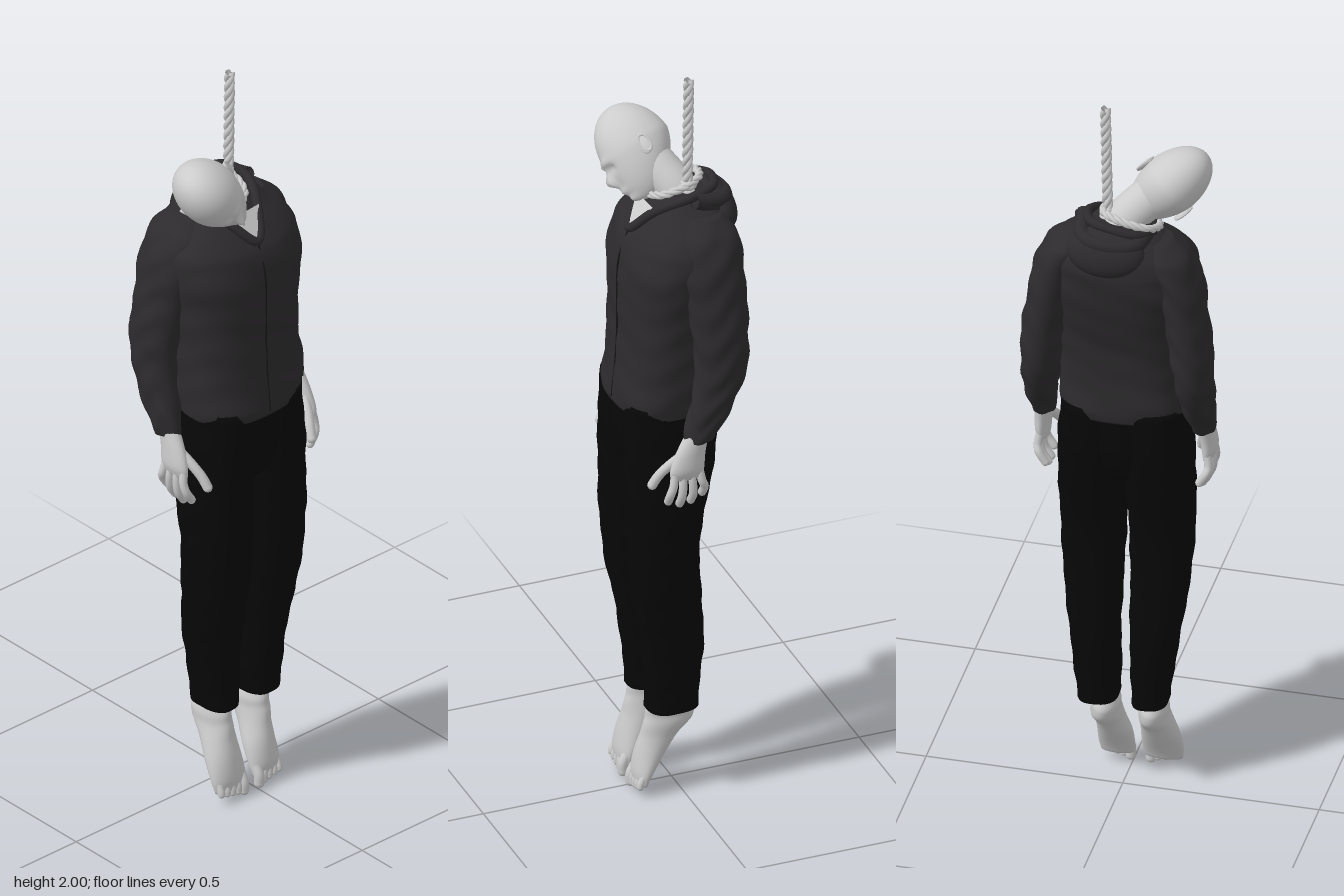
import * as THREE from 'three';

const mat = (color) => new THREE.MeshStandardMaterial({ color, side: THREE.DoubleSide });
const skin = mat(0xcccccc), ropeMat = mat(0xcccccc), cloth = mat(0x2d2b2d), trouser = mat(0x070707), dark = mat(0x161516);
const V = (x, y, z) => new THREE.Vector3(x, y, z);

function add(parent, name, geometry, material) {
  const mesh = new THREE.Mesh(geometry, material);
  mesh.name = name;
  parent.add(mesh);
  return mesh;
}

// Smooth body through horizontal sections [x, y, z, rx, rz], listed bottom to top.
function loft(sections, { power = 2, fold = 0, steps = 6, n = 40 } = {}) {
  const centre = new THREE.CatmullRomCurve3(sections.map((s) => V(s[0], s[1], s[2])));
  const radii = new THREE.CatmullRomCurve3(sections.map((s) => V(s[3], s[4], 0)));
  const rows = (sections.length - 1) * steps, pos = [], idx = [];
  const bend = (v) => Math.sign(v) * Math.abs(v) ** (2 / power);
  for (let i = 0; i <= rows; i++) {
    const c = centre.getPoint(i / rows), r = radii.getPoint(i / rows);
    for (let j = 0; j < n; j++) {
      const a = (j / n) * Math.PI * 2;
      const w = fold * (Math.sin(c.y * 70 + 3 * Math.sin(a * 2)) + 0.8 * Math.sin(c.y * 37 - a * 4));
      pos.push(c.x + bend(Math.cos(a)) * (r.x + w), c.y, c.z + bend(Math.sin(a)) * (r.y + w));
    }
  }
  for (let i = 0; i < rows; i++) for (let j = 0; j < n; j++) {
    const a = i * n + j, b = i * n + (j + 1) % n;
    idx.push(a, a + n, b, b, a + n, b + n);
  }
  // end caps
  [0, rows].forEach((row) => {
    const c = centre.getPoint(row / rows), k = pos.length / 3;
    pos.push(c.x, c.y, c.z);
    for (let j = 0; j < n; j++) {
      const a = row * n + j, b = row * n + (j + 1) % n;
      if (row) idx.push(k, b, a); else idx.push(k, a, b);
    }
  });
  const g = new THREE.BufferGeometry();
  g.setAttribute('position', new THREE.Float32BufferAttribute(pos, 3));
  g.setIndex(idx);
  g.computeVertexNormals();
  return g;
}

// Rounded finger or toe along a few points.
function digit(parent, name, points, r) {
  const curve = new THREE.CatmullRomCurve3(points);
  add(parent, name, new THREE.TubeGeometry(curve, 10, r, 10), skin);
  const tip = add(parent, name + 'Tip', new THREE.SphereGeometry(r, 10, 8), skin);
  tip.position.copy(points[points.length - 1]);
}

// Three strands twisted around a path.
function rope(parent, name, path, turns, closed, size) {
  const N = 160, frames = path.computeFrenetFrames(N, closed);
  for (let k = 0; k < 3; k++) {
    const pts = [];
    for (let i = 0; i <= N - (closed ? 1 : 0); i++) {
      const a = (i / N) * turns * Math.PI * 2 + (k * Math.PI * 2) / 3;
      pts.push(path.getPointAt(i / N).addScaledVector(frames.normals[i], Math.cos(a) * 0.8 * size)
        .addScaledVector(frames.binormals[i], Math.sin(a) * 0.8 * size));
    }
    add(parent, name, new THREE.TubeGeometry(new THREE.CatmullRomCurve3(pts, closed), 160, size, 7, closed), ropeMat);
  }
}

function buildHead() {
  const head = new THREE.Group();
  head.name = 'head';
  const g = new THREE.SphereGeometry(1, 64, 48), p = g.attributes.position;
  const bump = (x, y, cx, cy, wx, wy) => Math.exp(-(((x - cx) / wx) ** 2) - ((y - cy) / wy) ** 2);
  for (let i = 0; i < p.count; i++) {
    let x = p.getX(i), y = p.getY(i), z = p.getZ(i);
    const low = Math.max(0, -y), x0 = x, ax = Math.abs(x);
    x *= 1 - 0.2 * low;
    if (z > 0) {
      z += 0.24 * bump(x0, y, 0, -0.3, 0.13, 0.17) + 0.09 * bump(ax, y, 0.25, 0.06, 0.25, 0.09);
      z += 0.1 * bump(x0, y, 0, -0.62, 0.28, 0.08) - 0.1 * bump(ax, y, 0.36, -0.1, 0.16, 0.1);
      z += 0.14 * bump(x0, y, 0, -0.86, 0.25, 0.12);
    } else z *= 1 - 0.35 * low;
    z += 0.32 * low * low;
    p.setXYZ(i, x * 0.077, y * 0.122, z * 0.094);
  }
  g.computeVertexNormals();
  add(head, 'skull', g, skin);
  for (const s of [-1, 1]) {
    const ear = add(head, 'ear', new THREE.SphereGeometry(1, 16, 12), skin);
    ear.scale.set(0.006, 0.027, 0.016);
    ear.position.set(s * 0.075, -0.015, -0.01);
    ear.rotation.set(-0.2, s * -0.25, 0);
    const rim = add(head, 'earRim', new THREE.TorusGeometry(0.015, 0.0035, 8, 20), skin);
    rim.scale.set(0.85, 1.5, 1);
    rim.position.set(s * 0.078, -0.013, -0.012);
    rim.rotation.y = Math.PI / 2 - s * 0.25;
  }
  // tilted to the right shoulder, face down
  const up = V(-0.72, 0.6, 0.33).normalize();
  const left = up.clone().cross(V(0.1, -0.4, 0.9)).normalize();
  head.setRotationFromMatrix(new THREE.Matrix4().makeBasis(left, up, left.clone().cross(up)));
  head.position.set(-0.106, 1.748, 0.05);
  return head;
}

function buildArm(s) {
  const arm = new THREE.Group();
  arm.name = s > 0 ? 'leftArm' : 'rightArm';
  add(arm, 'sleeve', loft([
    [s * 0.203, 1.075, 0.008, 0.029, 0.039], [s * 0.203, 1.1, 0, 0.034, 0.045], [s * 0.2, 1.17, -0.03, 0.041, 0.057],
    [s * 0.195, 1.25, -0.053, 0.049, 0.067], [s * 0.188, 1.35, -0.056, 0.053, 0.072], [s * 0.173, 1.45, -0.05, 0.055, 0.078],
    [s * 0.153, 1.55, -0.042, 0.058, 0.085], [s * 0.125, 1.61, -0.042, 0.058, 0.08], [s * 0.1, 1.65, -0.042, 0.035, 0.045],
  ], { fold: 0.0022 }), cloth);
  // palm, four fingers and a thumb
  add(arm, 'palm', loft([
    [s * 0.21, 0.975, 0.045, 0.014, 0.041], [s * 0.212, 1.0, 0.043, 0.019, 0.045],
    [s * 0.209, 1.04, 0.034, 0.021, 0.04], [s * 0.204, 1.1, 0.01, 0.022, 0.029],
  ], { n: 24 }), skin);
  for (let i = 0; i < 4; i++) {
    const z = 0.075 - i * 0.021, d = [0.012, 0, 0.004, 0.02][i], spread = 0.012 - i * 0.009;
    digit(arm, 'finger', [V(s * 0.211, 1.0, z), V(s * 0.217, 0.96, z + spread * 0.5),
      V(s * 0.213, 0.925 + d, z + spread), V(s * 0.196, 0.897 + d, z + spread)], 0.0108);
  }
  digit(arm, 'thumb', [V(s * 0.205, 1.04, 0.05), V(s * 0.19, 1.005, 0.085), V(s * 0.178, 0.975, 0.107), V(s * 0.172, 0.95, 0.12)], 0.0125);
  return arm;
}

function buildLeg(s) {
  const leg = new THREE.Group();
  leg.name = s > 0 ? 'leftLeg' : 'rightLeg';
  const r = s > 0 ? 0.052 : 0.046;
  add(leg, 'trouserLeg', loft([
    [s * 0.066, 0.245, 0.027, r, 0.066], [s * 0.068, 0.3, 0.027, r + 0.003, 0.069], [s * 0.077, 0.45, 0.03, 0.062, 0.08],
    [s * 0.085, 0.6, 0.05, 0.073, 0.087], [s * 0.087, 0.75, 0.058, 0.08, 0.092], [s * 0.086, 0.9, 0.045, 0.083, 0.108],
    [s * 0.082, 1.02, 0.037, 0.084, 0.118], [s * 0.076, 1.14, 0.034, 0.08, 0.117],
  ], { power: 2.4, fold: 0.0013 }), trouser);
  // hanging foot with the toes pointing down, ankle inside the trouser
  const x = s > 0 ? 0.038 : -0.08, ankle = s > 0 ? 0.06 : -0.068, f = s > 0 ? 0.92 : 1.05;
  add(leg, 'foot', loft([
    [x, 0.03, 0.1, 0.045 * f, 0.016], [x, 0.06, 0.093, 0.05 * f, 0.025], [x, 0.11, 0.073, 0.048 * f, 0.038],
    [x * 0.75 + ankle * 0.25, 0.16, 0.05, 0.041 * f, 0.049], [(x + ankle) / 2, 0.2, 0.028, 0.037, 0.064],
    [(x + ankle) / 2, 0.225, 0.024, 0.036, 0.064], [ankle, 0.26, 0.03, 0.035, 0.05], [ankle, 0.32, 0.03, 0.034, 0.045],
  ], { n: 28 }), skin);
  for (let i = 0; i < 5; i++) {
    const tx = x + s * (-0.034 + i * 0.0175) * f, size = i ? 0.0095 : 0.0135;
    digit(leg, 'toe', [V(tx, 0.06, 0.098), V(tx, 0.035, 0.11), V(tx, 0.013 + i * 0.004, 0.111)], size);
  }
  return leg;
}

export function createModel() {
  const model = new THREE.Group();
  model.name = 'hangingFigure';

  for (const s of [-1, 1]) model.add(buildArm(s), buildLeg(s));
  add(model, 'trouserSeat', loft([
    [0, 0.89, 0.042, 0.025, 0.045], [0, 0.94, 0.04, 0.07, 0.095], [0, 1.02, 0.037, 0.1, 0.115], [0, 1.14, 0.034, 0.1, 0.116],
  ], { power: 2.4 }), trouser);

  // jacket body and zip
  add(model, 'jacketBody', loft([
    [0, 1.11, 0.038, 0.158, 0.121], [0, 1.14, 0.036, 0.163, 0.124], [0, 1.22, 0.033, 0.163, 0.116], [0, 1.32, 0.026, 0.166, 0.118],
    [0, 1.42, 0.014, 0.175, 0.13], [0, 1.51, 0.002, 0.19, 0.138], [0, 1.57, -0.01, 0.187, 0.132],
    [0, 1.615, -0.024, 0.158, 0.112], [0.003, 1.65, -0.033, 0.115, 0.088], [0.008, 1.675, -0.035, 0.078, 0.066], [0.01, 1.685, -0.035, 0.05, 0.05],
  ], { power: 2.6, fold: 0.0012, n: 64 }), cloth);
  const zip = new THREE.CatmullRomCurve3([V(0, 1.12, 0.159), V(0, 1.22, 0.149), V(0, 1.32, 0.144), V(0, 1.42, 0.144), V(0, 1.51, 0.14), V(0, 1.59, 0.113)]);
  add(model, 'zip', new THREE.TubeGeometry(zip, 24, 0.0025, 6), dark);

  // open collar with bare throat
  const throat = new THREE.BufferGeometry().setFromPoints([V(0, 1.59, 0.12), V(0.045, 1.662, 0.068), V(-0.055, 1.657, 0.072)]);
  throat.computeVertexNormals();
  add(model, 'throat', throat, skin);
  const collar = new THREE.CatmullRomCurve3([V(0, 1.592, 0.112), V(0.045, 1.65, 0.062), V(0.08, 1.69, -0.02), V(0.06, 1.7, -0.085),
    V(0, 1.695, -0.105), V(-0.06, 1.678, -0.09), V(-0.085, 1.66, -0.02), V(-0.055, 1.645, 0.062)], true);
  add(model, 'collar', new THREE.TubeGeometry(collar, 80, 0.012, 10, true), cloth);

  // folded hood: soft bag on the upper back with a rolled rim
  const bag = add(model, 'hood', new THREE.SphereGeometry(1, 32, 24), cloth);
  bag.scale.set(0.1, 0.066, 0.045);
  bag.position.set(0.015, 1.63, -0.108);
  bag.rotation.x = 0.35;
  [[0.086, 0.02, 0.02], [0.092, 0.06, 0.017]].forEach(([w, drop, r]) => {
    const rim = new THREE.CatmullRomCurve3([V(0.01 - w, 1.66, -0.035), V(-0.058, 1.67 - drop * 0.6, -0.105),
      V(0.02, 1.68 - drop, -0.122 - drop * 0.25), V(0.075, 1.68 - drop * 0.6, -0.105), V(0.005 + w, 1.685, -0.025)]);
    add(model, 'hoodRim', new THREE.TubeGeometry(rim, 40, r, 12), cloth);
  });

  // neck and head
  const neck = new THREE.CatmullRomCurve3([V(0.01, 1.62, -0.03), V(-0.008, 1.67, -0.018), V(-0.047, 1.71, 0.01), V(-0.08, 1.735, 0.03)]);
  add(model, 'neck', new THREE.TubeGeometry(neck, 20, 0.052, 24), skin);
  model.add(buildHead());

  // rope, loop and knot
  rope(model, 'rope', new THREE.LineCurve3(V(0.03, 1.67, -0.03), V(0.036, 2, -0.032)), 4, false, 0.0078);
  const ring = [[-0.08, -0.062], [-0.03, -0.078], [0.02, -0.065], [0.042, -0.025], [0.03, 0.03], [-0.02, 0.052], [-0.07, 0.04], [-0.097, -0.01]];
  rope(model, 'ropeLoop', new THREE.CatmullRomCurve3(ring.map(([x, z]) => V(x, 1.685 + x * 0.25 - z * 0.3, z)), true), 6, true, 0.006);
  for (let i = 0; i < 3; i++) {
    const coil = add(model, 'knotCoil', new THREE.TorusGeometry(0.012, 0.0065, 8, 20), ropeMat);
    coil.rotation.x = Math.PI / 2;
    coil.position.set(0.033, 1.685 + i * 0.011, -0.03);
  }
  return model;
}
